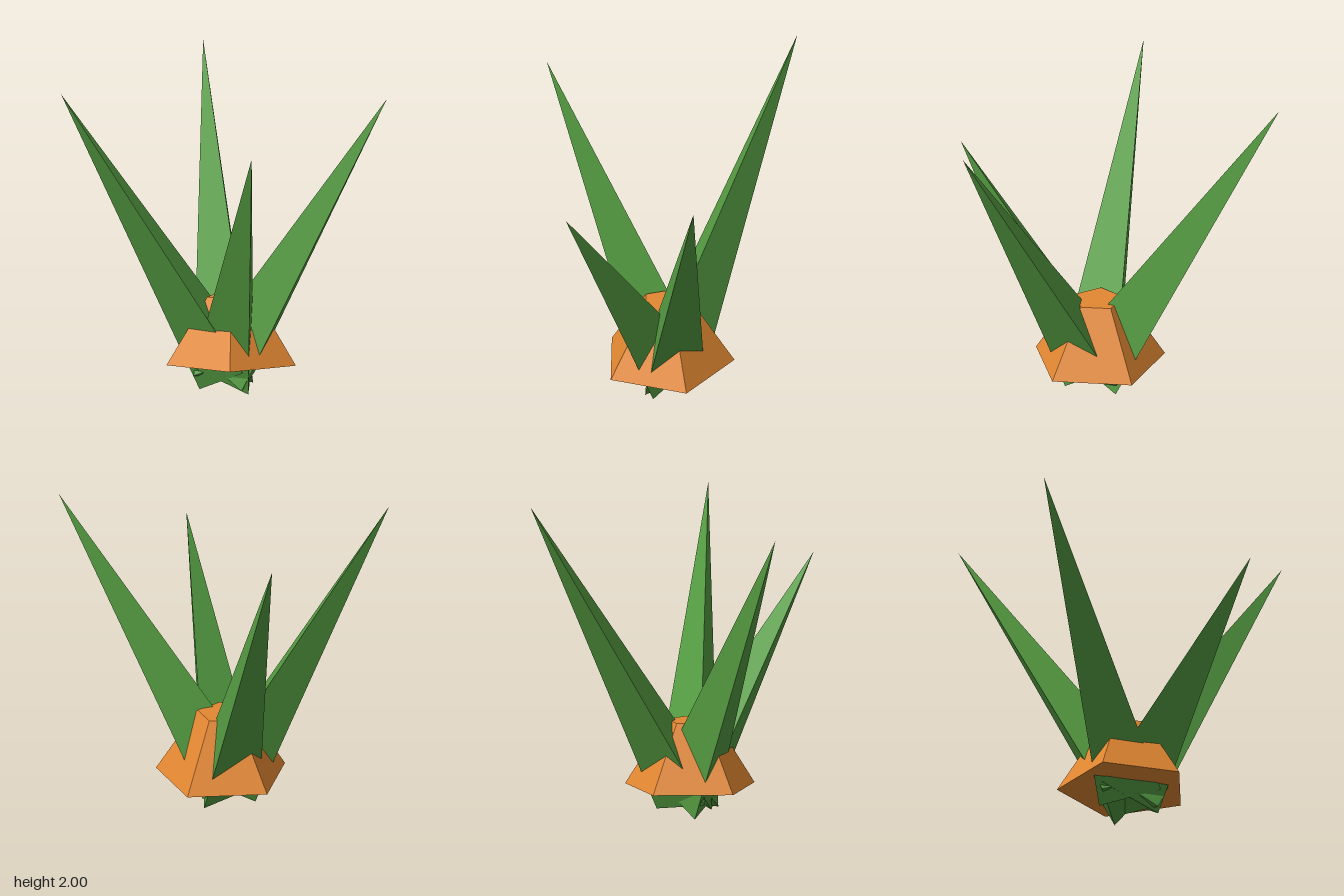
import * as THREE from 'three';

export function createModel() {
  const group = new THREE.Group();
  const flat = (name, color) => {
    const m = new THREE.MeshStandardMaterial({ color });
    m.name = name;
    m.flatShading = true;
    return m;
  };
  const orange = flat('orange', 0xe38832);
  const green = flat('green', 0x549b41);

  // Common foot from which the leaves fan out
  const foot = new THREE.Vector3(-0.024, 0.117, -0.118);

  // Five-sided tapered pot, one corner towards +x
  const pot = new THREE.Mesh(
    new THREE.CylinderGeometry(0.155, 0.415, 0.41, 5, 1, false, Math.PI / 2), orange);
  pot.name = 'pot';
  pot.position.set(foot.x, 0.38, foot.z);
  group.add(pot);

  // Three-sided spike from the foot to a tip: tilted about x, then about z
  const addLeaf = (name, x, y, z) => {
    const dir = new THREE.Vector3(x, y, z).sub(foot);
    const length = dir.length();
    dir.normalize();
    const geometry = new THREE.ConeGeometry(0.233, length, 3, 1, false, Math.PI / 2);
    geometry.translate(0, length / 2, 0);
    const leaf = new THREE.Mesh(geometry, green);
    leaf.name = name;
    leaf.position.copy(foot);
    leaf.rotation.set(Math.asin(dir.z), 0, Math.atan2(-dir.x, dir.y), 'ZYX');
    group.add(leaf);
  };
  addLeaf('frontLeaf', 0.157, 1.87, 0.935);
  addLeaf('backLeftLeaf', 0.762, 2.0, -0.94);
  addLeaf('backRightLeaf', -0.765, 1.845, -0.86);
  addLeaf('frontRightLeaf', -0.63, 1.55, 0.5);

  return group;
}
